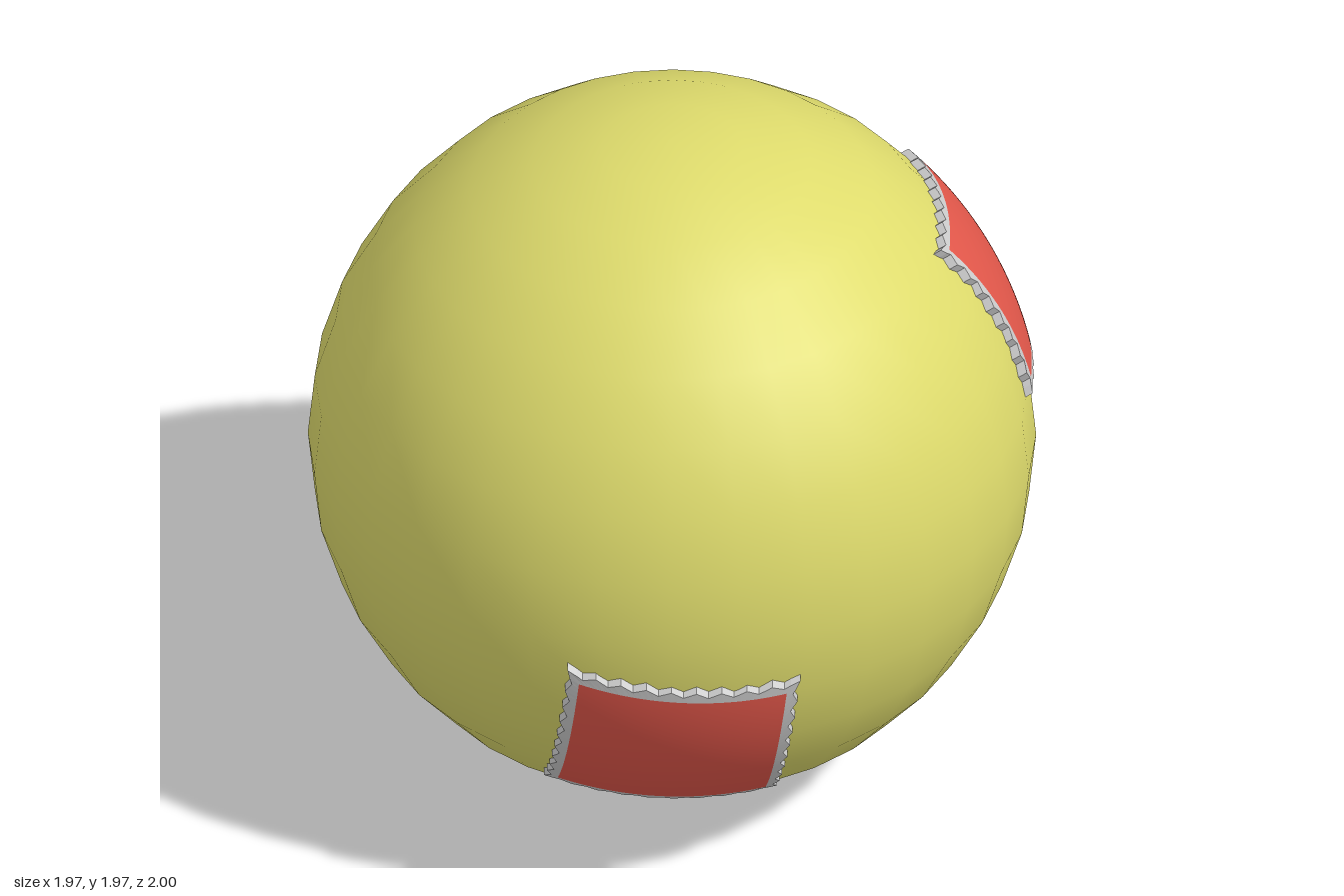
import * as THREE from 'three';

const CENTRE = new THREE.Vector3(0, 0.987, 0.01);
const TEETH = 9, STEPS = TEETH * 4; // scallops and samples per side

// Patches: outward direction, up direction, inner half size, border, surface radius
const PATCHES = [
  { name: 'frontPatch', out: [-0.491, -0.451, 0.745], up: [-0.09, 0.505, 0.24], half: 0.283, border: 0.026, radius: 1.0 },
  { name: 'leftPatch', out: [0.82, 0.445, 0.32], up: [-0.185, 0.46, -0.13], half: 0.24, border: 0.022, radius: 1.003 },
  { name: 'backPatch', out: [-0.05, 0.025, -1], up: [0, 1, 0], half: 0.232, border: 0.022, radius: 1.01 },
];

// Lift a flat point onto a sphere of radius r, keeping its x and y
const lift = ([x, y], r) => [x, y, Math.sqrt(r * r - x * x - y * y)];

// Counter-clockwise square outline with optional scallops
function squareLoop(half, wave = 0) {
  const pts = [];
  for (let side = 0; side < 4; side++) {
    const c = [1, 0, -1, 0][side], s = [0, 1, 0, -1][side];
    for (let i = 0; i < STEPS; i++) {
      const x = half + wave * Math.cos((i / STEPS) * TEETH * 2 * Math.PI);
      const y = i === 0 ? -x : (2 * i / STEPS - 1) * half;
      pts.push([c * x - s * y, s * x + c * y]);
    }
  }
  return pts;
}

// Scalloped rim: outer wall plus the curved border on top
function rimGeometry({ half, border, radius }) {
  const outer = squareLoop(half + border, 0.008);
  const loops = [
    outer.map(p => lift(p, 0.96)),
    outer.map(p => lift(p, radius)),
    squareLoop(half).map(p => lift(p, radius)),
  ];
  const n = outer.length, index = [];
  for (let k = 0; k < 2; k++) {
    for (let i = 0; i < n; i++) {
      const j = (i + 1) % n, a = k * n, b = a + n;
      index.push(a + i, a + j, b + i, a + j, b + j, b + i);
    }
  }
  const geo = new THREE.BufferGeometry();
  geo.setAttribute('position', new THREE.Float32BufferAttribute(loops.flat(2), 3));
  geo.setIndex(index);
  const flat = geo.toNonIndexed();
  flat.computeVertexNormals();
  return flat;
}

// Curved square panel inside the rim
function panelGeometry({ half, radius }) {
  const geo = new THREE.PlaneGeometry(half * 2, half * 2, STEPS, STEPS);
  const pos = geo.attributes.position;
  for (let i = 0; i < pos.count; i++) {
    pos.setXYZ(i, ...lift([pos.getX(i), pos.getY(i)], radius));
  }
  geo.computeVertexNormals();
  return geo;
}

export function createModel() {
  const yellow = new THREE.MeshStandardMaterial({ color: 0xdedb6c });
  const red = new THREE.MeshStandardMaterial({ color: 0xe2574a });
  const grey = new THREE.MeshStandardMaterial({ color: 0xcccccc });

  const model = new THREE.Group();
  model.name = 'patchedBall';
  const add = (parent, name, geo, mat) => {
    const mesh = new THREE.Mesh(geo, mat);
    mesh.name = name;
    parent.add(mesh);
    return mesh;
  };

  // Ball
  add(model, 'ball', new THREE.SphereGeometry(0.987, 32, 16), yellow).position.copy(CENTRE);

  // Stamp-like patches
  for (const p of PATCHES) {
    const group = new THREE.Group();
    group.name = p.name;
    const out = new THREE.Vector3(...p.out).normalize();
    const right = new THREE.Vector3(...p.up).cross(out).normalize();
    const up = out.clone().cross(right);
    group.quaternion.setFromRotationMatrix(new THREE.Matrix4().makeBasis(right, up, out));
    group.position.copy(CENTRE);
    add(group, 'scallopedRim', rimGeometry(p), grey);
    add(group, 'panel', panelGeometry(p), red);
    model.add(group);
  }
  return model;
}
